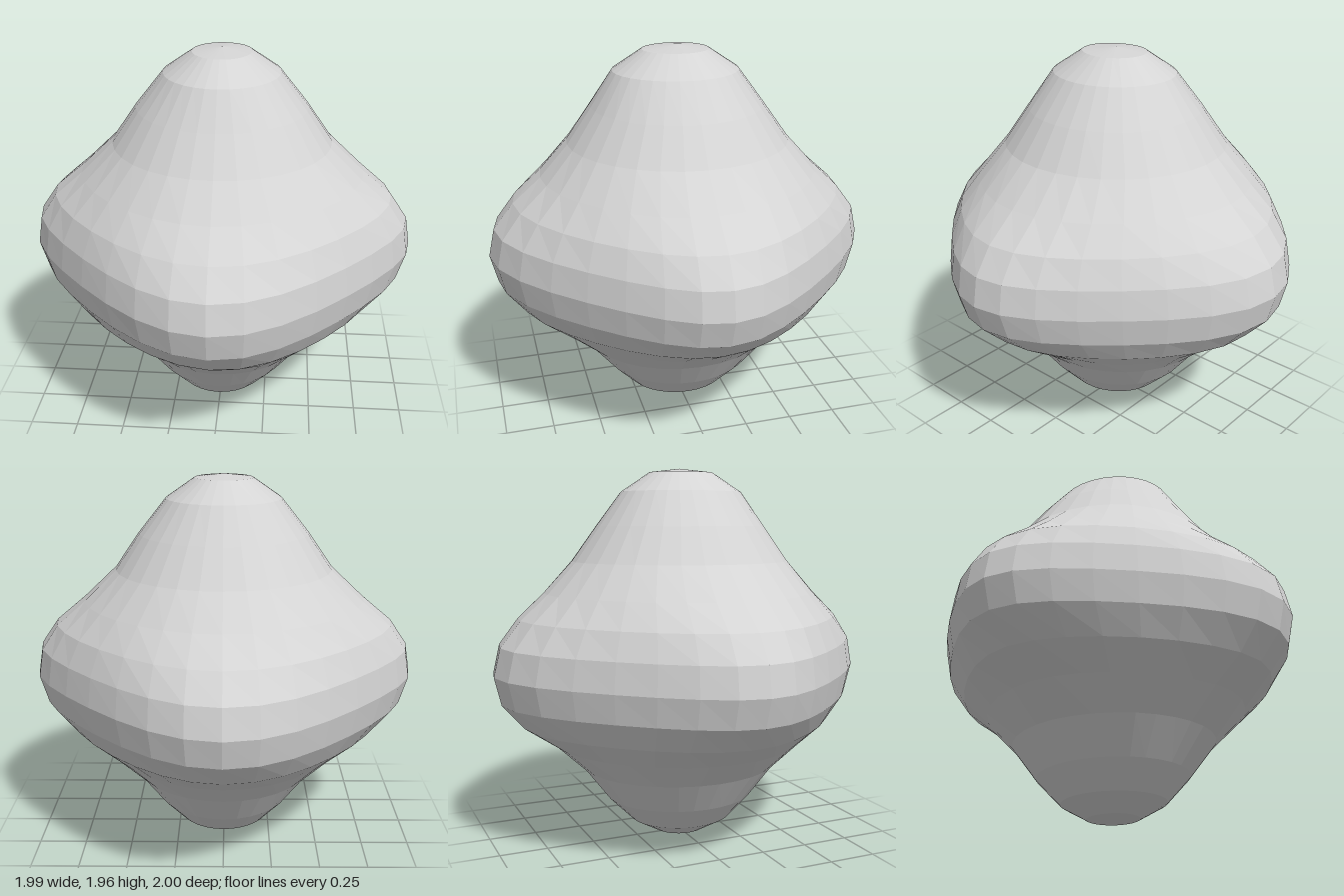
import * as THREE from 'three';

// Rings from pole to pole: height, half-width in x, half-depth front, half-depth back, diamond pinch
const RINGS = [
  [1.955, 0, 0, 0, 0], [1.935, 0.15, 0.18, 0.16, 0], [1.835, 0.295, 0.33, 0.31, 0],
  [1.66, 0.435, 0.445, 0.44, 0], [1.48, 0.56, 0.57, 0.57, 0], [1.32, 0.73, 0.715, 0.72, 0.03],
  [1.195, 0.88, 0.86, 0.86, 0.08], [1.065, 0.97, 0.965, 0.965, 0.115], [0.92, 0.995, 0.998, 1, 0.122],
  [0.775, 0.95, 0.965, 0.965, 0.115], [0.645, 0.82, 0.86, 0.85, 0.08], [0.53, 0.65, 0.70, 0.68, 0.03],
  [0.39, 0.49, 0.535, 0.53, 0], [0.22, 0.365, 0.40, 0.40, 0], [0.09, 0.25, 0.28, 0.27, 0],
  [0.015, 0.125, 0.14, 0.135, 0], [0, 0, 0, 0, 0],
];
const SIDES = 32;

// Point on the rock surface for one ring and one step around it
function surfacePoint([y, rx, front, back, pinch], step) {
  const a = (step / SIDES) * Math.PI * 2;
  const turn = a + pinch * (0.28 * Math.sin(2 * a) - 0.42 * Math.sin(4 * a));
  const r = 1 - pinch * (1 - Math.cos(4 * a)) / 2;
  const x = Math.sin(turn) * rx * r;
  const z = Math.cos(turn) * (Math.cos(turn) > 0 ? front : back) * r;
  // shallow dent low on the front
  const d2 = (x + 0.25) ** 2 + (y - 0.52) ** 2;
  const dent = z > 0 ? 1 - 0.02 * Math.exp(-d2 / 0.06) : 1;
  return [x * dent, y, z * dent];
}

export function createModel() {
  const group = new THREE.Group();
  group.name = 'asteroid';
  const greyRock = new THREE.MeshStandardMaterial({ color: 0xd4d4d4, flatShading: true });
  greyRock.name = 'grey rock';

  // Spinning-top body with a wide equatorial ridge
  const positions = [];
  const index = [];
  RINGS.forEach((ring) => {
    for (let s = 0; s < SIDES; s++) positions.push(...surfacePoint(ring, s));
  });
  const last = RINGS.length - 2;
  for (let i = 0; i <= last; i++) {
    for (let s = 0; s < SIDES; s++) {
      const a = i * SIDES + s;
      const b = i * SIDES + ((s + 1) % SIDES);
      const c = a + SIDES;
      const d = b + SIDES;
      if (i < last) index.push(a, c, d);
      if (i > 0) index.push(a, d, b);
    }
  }
  const geometry = new THREE.BufferGeometry();
  geometry.setAttribute('position', new THREE.Float32BufferAttribute(positions, 3));
  geometry.setIndex(index);
  const flat = geometry.toNonIndexed();
  flat.computeVertexNormals();
  const body = new THREE.Mesh(flat, greyRock);
  body.name = 'rockBody';
  group.add(body);
  return group;
}
